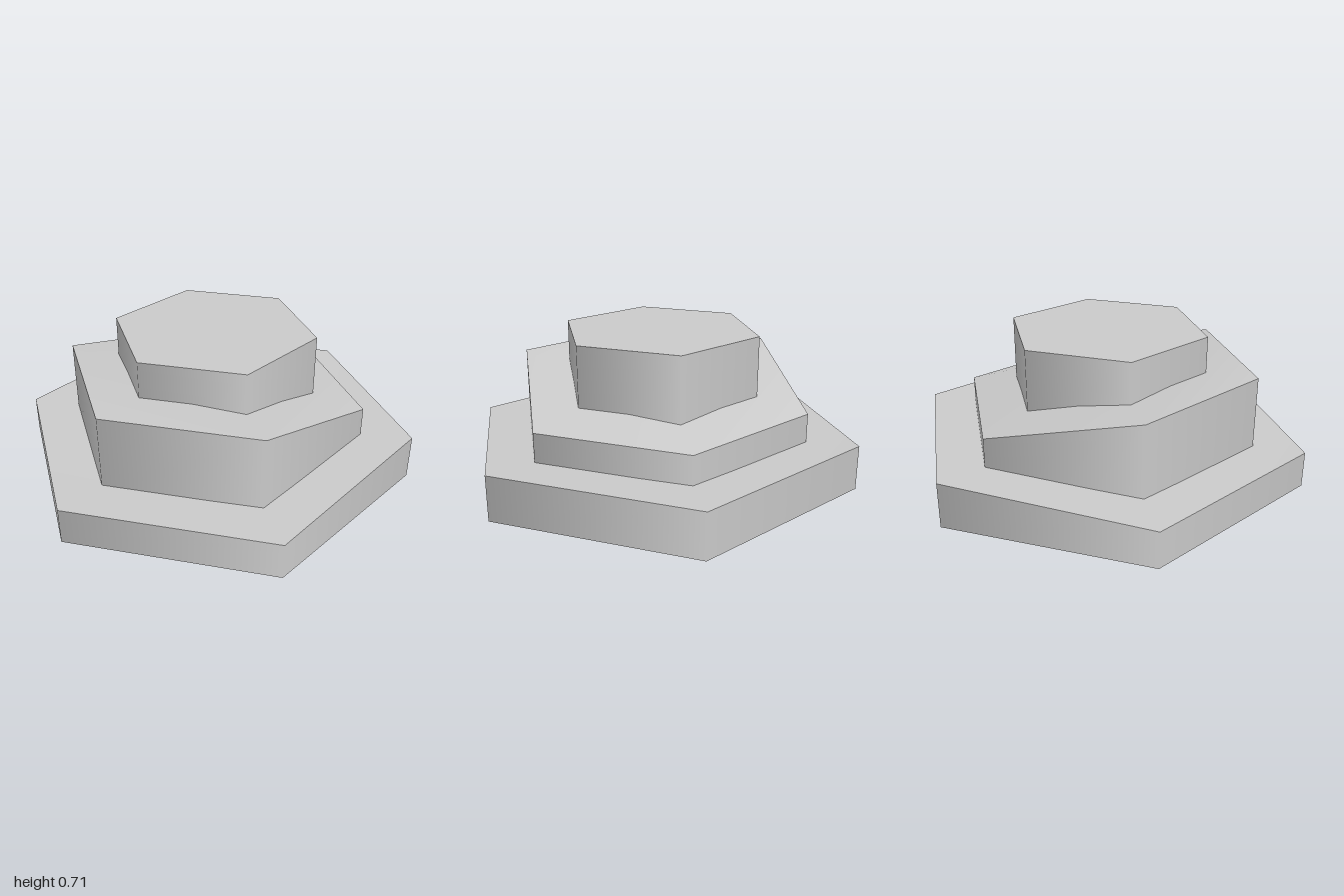
import * as THREE from 'three';

// Cap facets: one central triangle plus three corner triangles
const CAP = [[0, 2, 1], [0, 4, 2], [2, 4, 3], [0, 5, 4]];

// Hexagonal tier whose top steps from leftTop (three -x corners...) to rightTop (+x corners)
function hexTier(name, radius, bottom, leftTop, rightTop) {
  const pos = [], nor = [], idx = [];
  const corner = (i, y) => {
    const a = (i * Math.PI) / 3;
    return [radius * Math.cos(a), y, radius * Math.sin(a)];
  };
  const topY = (i) => (Math.cos((i * Math.PI) / 3) > 0 ? rightTop : leftTop);

  // Wall: shared corners with radial normals, so it shades smoothly
  for (let i = 0; i < 6; i++) {
    const a = (i * Math.PI) / 3;
    for (const y of [bottom, topY(i)]) {
      pos.push(...corner(i, y));
      nor.push(Math.cos(a), 0, Math.sin(a));
    }
    const b = 2 * i, t = b + 1, b2 = 2 * ((i + 1) % 6), t2 = b2 + 1;
    idx.push(b, t, b2, b2, t, t2);
  }
  const wall = new THREE.BufferGeometry();
  wall.setAttribute('position', new THREE.Float32BufferAttribute(pos, 3));
  wall.setAttribute('normal', new THREE.Float32BufferAttribute(nor, 3));
  wall.setIndex(idx);

  // Caps: the underside reverses the corner order
  const cap = (heightAt, flip) => {
    const g = new THREE.BufferGeometry();
    const p = [];
    for (let i = 0; i < 6; i++) p.push(...corner(i, heightAt(i)));
    g.setAttribute('position', new THREE.Float32BufferAttribute(p, 3));
    g.setIndex(CAP.flatMap(([a, b, c]) => (flip ? [a, c, b] : [a, b, c])));
    g.computeVertexNormals();
    return g;
  };

  const group = new THREE.Group();
  group.name = name;
  const material = new THREE.MeshStandardMaterial({ color: 0xcccccc });
  const parts = { Wall: wall, Top: cap(topY, false), Underside: cap(() => bottom, true) };
  for (const [part, geometry] of Object.entries(parts)) {
    const mesh = new THREE.Mesh(geometry, material);
    mesh.name = name + part;
    group.add(mesh);
  }
  return group;
}

export function createModel() {
  const model = new THREE.Group();
  model.name = 'steppedHexagon';
  model.add(
    hexTier('baseTier', 1, 0, 0.178, 0.222),
    hexTier('middleTier', 0.75, 0.15, 0.534, 0.354),
    hexTier('topTier', 0.5, 0.33, 0.714, 0.714),
  );
  return model;
}
